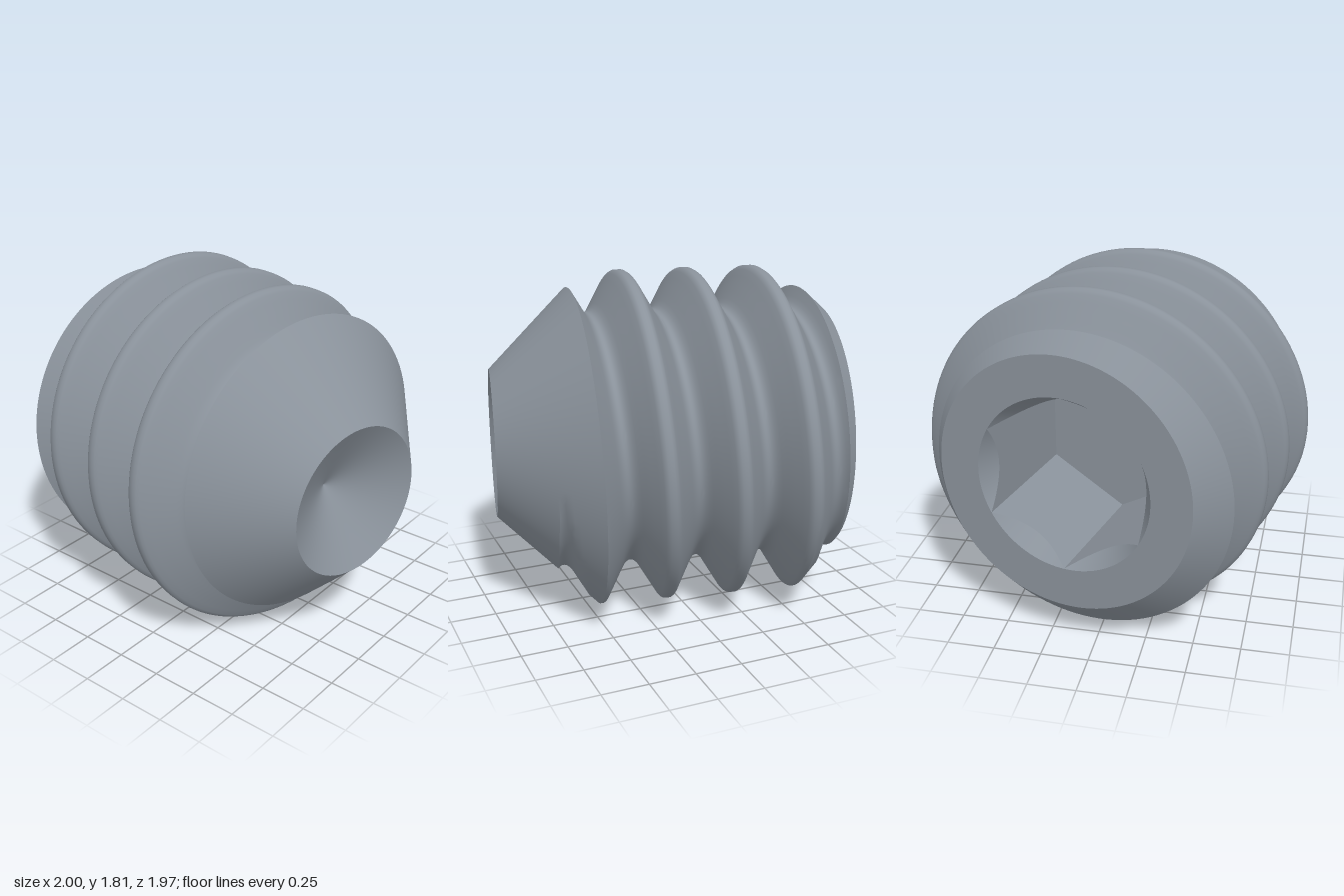
import * as THREE from 'three';
import { toCreasedNormals } from 'three/addons/utils/BufferGeometryUtils.js';

const SIDES = 120;
const END = 0.908;            // half length along the screw axis
const PITCH = 0.363, CREST0 = -0.545;
const FACE_R = 0.685, TIP_R = 0.4;
const HEX_FLAT = 0.406, HEX_CORNER = 0.469, SOCKET_DEPTH = 0.73, CUP_DEPTH = 0.235;

// Half thread profile: [distance from crest, radius]
const THREAD = [
  [0, 0.907], [0.015, 0.907], [0.03, 0.898], [0.04, 0.885], [0.06, 0.85], [0.085, 0.807],
  [0.11, 0.764], [0.13, 0.729], [0.145, 0.706], [0.16, 0.692], [0.172, 0.686], [PITCH / 2, 0.685],
];

function threadRadius(s, angle) {
  const turns = (s - CREST0) / PITCH - angle / (2 * Math.PI);
  const d = Math.abs(turns - Math.round(turns)) * PITCH;
  for (let i = 1; i < THREAD.length; i++) {
    const [d0, r0] = THREAD[i - 1], [d1, r1] = THREAD[i];
    if (d <= d1) return r0 + (r1 - r0) * (d - d0) / (d1 - d0);
  }
  return FACE_R;
}

// Chamfer at the socket end and cone at the tip
const capRadius = (s) => Math.min(FACE_R + (s + END) * 0.93, TIP_R + (END - s) * 0.98);

// Thread-aligned samples along the axis at one angle, snapped to the edges of chamfer and cone
function bodyProfile(angle) {
  const half = THREAD.slice(0, -1).map((p) => p[0]);
  const offsets = [-PITCH / 2, ...half.slice(1).reverse().map((d) => -d), ...half];
  const list = [];
  for (let k = -2; k <= 4; k++) {
    const crest = CREST0 + PITCH * (k + angle / (2 * Math.PI));
    for (const o of offsets) list.push(THREE.MathUtils.clamp(crest + o, -END, END));
  }
  list.push(END);
  const gap = (s) => threadRadius(s, angle) - capRadius(s);
  for (let j = 0; j < list.length - 1; j++) {
    const a = list[j], b = list[j + 1], ga = gap(a), gb = gap(b);
    if (ga * gb >= 0) continue;
    const t = ga / (ga - gb);
    const target = t < 0.5 ? j : j + 1;
    if (Math.abs(list[target]) < END) list[target] = a + (b - a) * t;
  }
  return list.map((s) => [s, Math.min(threadRadius(s, angle), capRadius(s))]);
}

// Sweeps a profile of [axial position, radius] points around the x axis
function sweep(profileAt, crease) {
  const rows = [];
  for (let i = 0; i <= SIDES; i++) {
    const angle = (i / SIDES) * Math.PI * 2;
    rows.push(profileAt(angle).map(([s, r]) =>
      new THREE.Vector3(s, r * Math.cos(angle), r * Math.sin(angle))));
  }
  const positions = [];
  const e1 = new THREE.Vector3(), e2 = new THREE.Vector3();
  const triangle = (a, b, c) => {
    if (e1.subVectors(b, a).cross(e2.subVectors(c, a)).length() < 1e-8) return;
    for (const p of [a, b, c]) positions.push(p.x, p.y, p.z);
  };
  for (let i = 0; i < SIDES; i++) {
    for (let j = 0; j < rows[i].length - 1; j++) {
      const a = rows[i][j], b = rows[i + 1][j], c = rows[i][j + 1], d = rows[i + 1][j + 1];
      triangle(a, b, c);
      triangle(b, d, c);
    }
  }
  const geometry = new THREE.BufferGeometry();
  geometry.setAttribute('position', new THREE.Float32BufferAttribute(positions, 3));
  return toCreasedNormals(geometry, crease);
}

// Hexagon radius with corners at angle 0, 60, ...
function hexRadius(angle) {
  const sector = Math.PI / 3;
  const local = ((angle % sector) + sector) % sector - sector / 2;
  return Math.min(HEX_CORNER, HEX_FLAT / Math.cos(local));
}
const sinkEdge = (angle) => [-END + (HEX_CORNER - hexRadius(angle)) * 1.6, hexRadius(angle)];
const floorEdge = (angle) => [-END + SOCKET_DEPTH, hexRadius(angle)];

export function createModel() {
  const steel = new THREE.MeshStandardMaterial({ color: 0x8a929b });
  steel.name = 'steel grey';

  const model = new THREE.Group();
  model.name = 'setScrew';
  const add = (name, profileAt, crease = 0.4) => {
    const mesh = new THREE.Mesh(sweep(profileAt, crease), steel);
    mesh.name = name;
    model.add(mesh);
  };

  // Threaded body with chamfered end and conical tip
  add('threadedBody', bodyProfile, 0.62);

  // Drive end: flat ring, countersink, hexagonal walls and floor
  add('driveFace', () => [[-END, HEX_CORNER], [-END, FACE_R]]);
  add('socketCountersink', (a) => [sinkEdge(a), [-END, HEX_CORNER]]);
  add('socketWalls', (a) => [floorEdge(a), sinkEdge(a)]);
  add('socketFloor', (a) => [[-END + SOCKET_DEPTH, 0], floorEdge(a)]);

  // Hollow cup in the tip
  add('tipCup', () => [[END, TIP_R], [END - CUP_DEPTH, 0]]);

  // The screw axis is turned slightly in plan
  model.rotation.y = -0.2075;
  model.position.set(0.0275, 0.907, 0.035);
  const root = new THREE.Group();
  root.name = 'screw';
  root.add(model);
  return root;
}
